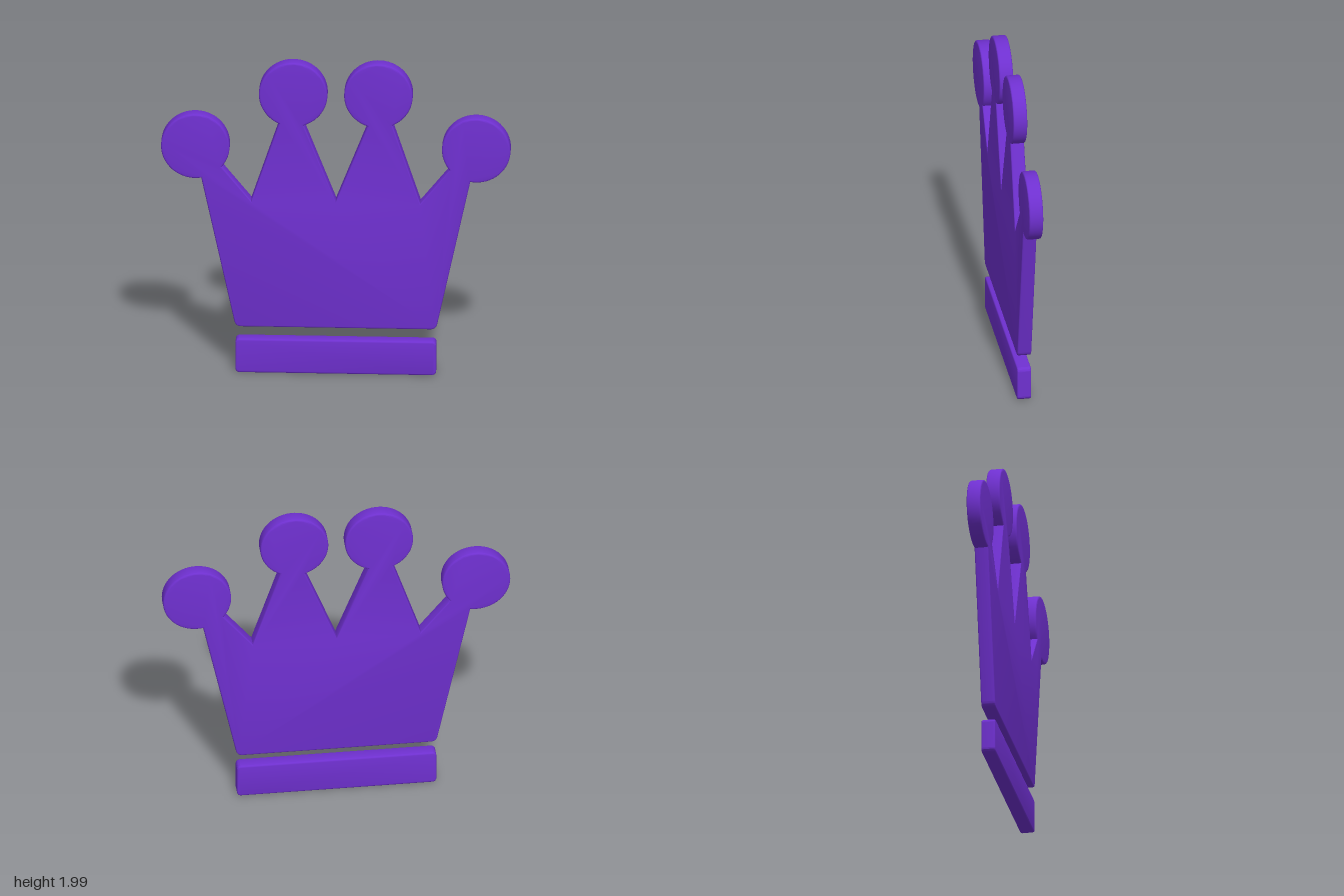
import * as THREE from 'three';
import { toCreasedNormals } from 'three/addons/utils/BufferGeometryUtils.js';

const THICKNESS = 0.085, BEVEL = 0.01, BALL = 0.205, CORNER = 0.035;
const rad = THREE.MathUtils.degToRad;

// Flat plate with softened edges, centred on z = 0
function plate(name, shape, material) {
  const geometry = new THREE.ExtrudeGeometry(shape, {
    depth: THICKNESS - 2 * BEVEL, curveSegments: 24,
    bevelThickness: BEVEL, bevelSize: BEVEL, bevelOffset: -BEVEL, bevelSegments: 3,
  });
  geometry.translate(0, 0, -THICKNESS / 2 + BEVEL);
  const mesh = new THREE.Mesh(toCreasedNormals(geometry, 0.7), material);
  mesh.name = name;
  return mesh;
}

// Crown outline, counter-clockwise from the bottom left
function crownShape() {
  const s = new THREE.Shape();
  const ball = (x, y, from, to) => s.absarc(x, y, BALL, rad(from), rad(to), false);
  s.moveTo(-0.6 + CORNER, 0.3);
  s.lineTo(0.6 - CORNER, 0.3);
  s.quadraticCurveTo(0.6, 0.3, 0.607, 0.3 + CORNER);
  ball(0.84, 1.455, -100, 219);
  s.lineTo(0.506, 1.11);
  ball(0.255, 1.795, -65.5, 251.5);
  s.lineTo(0, 1.115);
  ball(-0.255, 1.795, -71.5, 245.5);
  s.lineTo(-0.506, 1.11);
  ball(-0.84, 1.455, -39, 280);
  s.lineTo(-0.607, 0.3 + CORNER);
  s.quadraticCurveTo(-0.6, 0.3, -0.6 + CORNER, 0.3);
  return s;
}

// Rounded bar below the crown
function barShape(w, y0, y1, r) {
  const s = new THREE.Shape();
  s.absarc(w - r, y0 + r, r, -Math.PI / 2, 0, false);
  s.absarc(w - r, y1 - r, r, 0, Math.PI / 2, false);
  s.absarc(-w + r, y1 - r, r, Math.PI / 2, Math.PI, false);
  s.absarc(-w + r, y0 + r, r, Math.PI, Math.PI * 1.5, false);
  return s;
}

export function createModel() {
  const material = new THREE.MeshStandardMaterial({ color: 0x6f30d0 });
  const group = new THREE.Group();
  group.name = 'crownPiece';
  group.add(plate('crown', crownShape(), material));
  group.add(plate('baseBar', barShape(0.6, 0.005, 0.22, 0.025), material));

  // The plate stands turned about the vertical axis
  group.rotation.y = rad(-52.3);
  return group;
}
